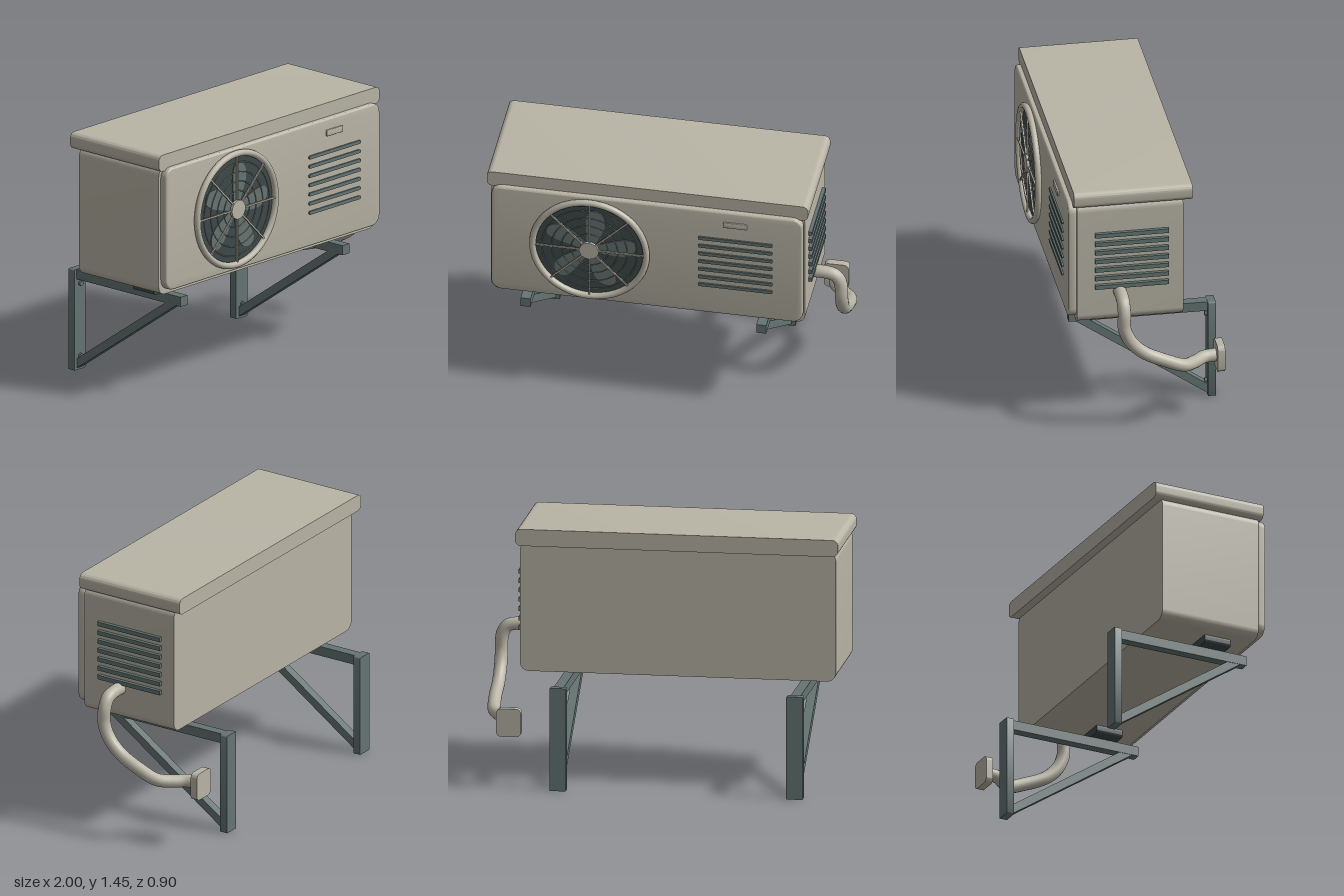
import * as THREE from 'three';
import { toCreasedNormals } from 'three/addons/utils/BufferGeometryUtils.js';

const paint = (name, color) => Object.assign(new THREE.MeshStandardMaterial({ color }), { name });

// Rounded rectangle in x/y, extruded from z0 to z1, with an optional bevel inside those bounds
function slab(x0, x1, y0, y1, z0, z1, r, bevel = 0) {
  const a = x0 + bevel, b = x1 - bevel, c = y0 + bevel, d = y1 - bevel;
  const s = new THREE.Shape();
  s.moveTo(a + r, c);
  s.lineTo(b - r, c).absarc(b - r, c + r, r, -Math.PI / 2, 0);
  s.lineTo(b, d - r).absarc(b - r, d - r, r, 0, Math.PI / 2);
  s.lineTo(a + r, d).absarc(a + r, d - r, r, Math.PI / 2, Math.PI);
  s.lineTo(a, c + r).absarc(a + r, c + r, r, Math.PI, Math.PI * 1.5);
  const g = new THREE.ExtrudeGeometry(s, {
    depth: z1 - z0 - 2 * bevel, curveSegments: 8,
    bevelEnabled: bevel > 0, bevelSize: bevel, bevelThickness: bevel, bevelSegments: 3,
  });
  g.translate(0, 0, z0 + bevel);
  return toCreasedNormals(g, 0.6);
}

export function createModel() {
  const casing = paint('casing beige', 0xb9b5a6);
  const steel = paint('slate grey', 0x657573);
  const dark = paint('dark recess', 0x3d4a4a);
  const root = new THREE.Group();
  root.name = 'outdoorUnit';

  function add(parent, name, geo, mat, x = 0, y = 0, z = 0) {
    const m = new THREE.Mesh(geo, mat);
    m.name = name;
    m.position.set(x, y, z);
    parent.add(m);
    return m;
  }
  function group(name, x = 0, y = 0, z = 0) {
    const g = new THREE.Group();
    g.name = name;
    g.position.set(x, y, z);
    root.add(g);
    return g;
  }

  // Casing
  add(root, 'body', slab(-0.98, 0.8, 0.63, 1.37, -0.23, 0.37, 0.05), casing);
  add(root, 'frontPanel', slab(-0.97, 0.793, 0.66, 1.37, 0.37, 0.418, 0.05, 0.01), casing);
  add(root, 'lid', slab(-1, 0.82, 1.355, 1.45, -0.28, 0.39, 0.032), casing);
  add(root, 'badge', slab(0.345, 0.48, 1.27, 1.305, 0.415, 0.428, 0.004, 0.003), casing);

  // Louvres on the front and on the left side
  const louvres = group('louvres');
  for (let i = 0; i < 7; i++) {
    const y = 0.855 + i * 0.0537;
    add(louvres, 'frontLouvre', slab(0.203, 0.625, y - 0.01, y + 0.01, 0.41, 0.427, 0.008), steel);
    add(louvres, 'sideLouvre', new THREE.BoxGeometry(0.02, 0.025, 0.415), steel, 0.81, y, 0.0625);
  }

  // Fan: dark disc, five blades, then the wire guard
  const fan = group('fan', -0.41, 1.02, 0.418);
  const across = (r, h) => new THREE.CylinderGeometry(r, r, h, 48).rotateX(Math.PI / 2);
  add(fan, 'fanRecess', across(0.325, 0.006), dark, 0, 0, 0.002);
  const bladeShape = new THREE.Shape();
  bladeShape.moveTo(0.03, -0.025);
  bladeShape.bezierCurveTo(0.1, -0.04, 0.18, -0.075, 0.235, -0.04);
  bladeShape.bezierCurveTo(0.275, -0.01, 0.275, 0.04, 0.235, 0.055);
  bladeShape.bezierCurveTo(0.16, 0.065, 0.1, 0.03, 0.03, 0.025);
  const bladeGeo = new THREE.ExtrudeGeometry(bladeShape, { depth: 0.005, bevelEnabled: false, curveSegments: 10 });
  for (let i = 0; i < 5; i++) {
    const blade = add(fan, 'fanBlade', bladeGeo, steel, 0, 0, 0.005);
    blade.rotation.z = 0.13 + (i * Math.PI * 2) / 5;
  }
  add(fan, 'guardRim', new THREE.TorusGeometry(0.322, 0.019, 12, 64), casing, 0, 0, 0.017);
  for (const r of [0.105, 0.16, 0.215, 0.27])
    add(fan, 'guardRing', new THREE.TorusGeometry(r, 0.003, 6, 48), casing, 0, 0, 0.02);
  for (let i = 0; i < 4; i++) {
    const spoke = add(fan, 'guardSpoke', new THREE.BoxGeometry(0.64, 0.009, 0.009), casing, 0, 0, 0.024);
    spoke.rotation.z = (i * Math.PI) / 4;
  }
  add(fan, 'guardHub', across(0.055, 0.016), casing, 0, 0, 0.027);

  // Refrigerant pipe and its wall plate
  const path = new THREE.CatmullRomCurve3([
    [0.78, 0.815, 0.13], [0.87, 0.815, 0.13], [0.925, 0.8, 0.13], [0.955, 0.75, 0.13],
    [0.96, 0.66, 0.13], [0.96, 0.575, 0.095], [0.96, 0.5, 0.02], [0.96, 0.435, -0.11],
    [0.945, 0.393, -0.21], [0.89, 0.38, -0.28], [0.84, 0.38, -0.34], [0.825, 0.38, -0.42],
  ].map((p) => new THREE.Vector3(...p)), false, 'centripetal');
  add(root, 'pipe', new THREE.TubeGeometry(path, 80, 0.037, 16), casing);
  add(root, 'wallPlate', slab(0.76, 0.9, 0.3, 0.46, -0.45, -0.408, 0.028), casing);

  // Two wall brackets, each a post, an arm, a diagonal brace, bolts and a rubber foot
  const from = new THREE.Vector2(0.325, 0.545), to = new THREE.Vector2(-0.412, 0.035);
  const brace = to.clone().sub(from);
  for (const x of [-0.782, 0.553]) {
    const b = group('wallBracket', x);
    add(b, 'post', slab(-0.047, 0.047, 0, 0.587, -0.45, -0.405, 0.006), steel);
    add(b, 'arm', new THREE.BoxGeometry(0.056, 0.056, 0.79), steel, 0, 0.557, -0.015);
    const strut = add(b, 'brace', new THREE.BoxGeometry(0.05, 0.046, brace.length() + 0.02), steel,
      0, (from.y + to.y) / 2, (from.x + to.x) / 2);
    strut.rotation.x = -Math.atan2(brace.y, brace.x) + Math.PI;
    for (const y of [0.5, 0.08])
      add(b, 'bolt', new THREE.CylinderGeometry(0.015, 0.015, 0.014, 6).rotateX(Math.PI / 2), steel, 0, y, -0.399);
    add(b, 'foot', slab(-0.1, 0.1, 0.585, 0.635, 0.085, 0.245, 0.015), dark);
  }
  return root;
}
